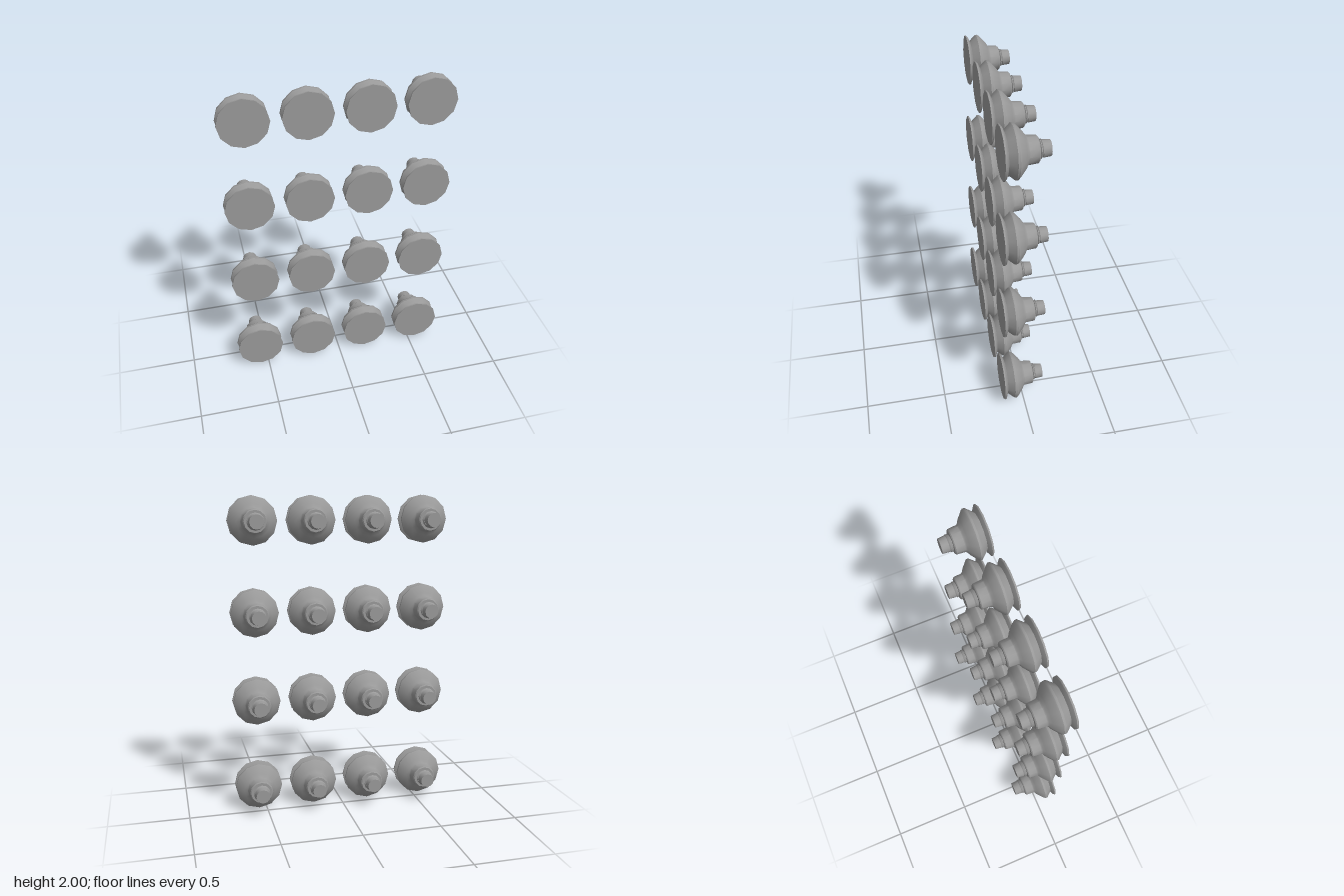
import * as THREE from 'three';
import { toCreasedNormals } from 'three/addons/utils/BufferGeometryUtils.js';

const SIDES = 12;
const material = new THREE.MeshStandardMaterial({ color: 0x999999 });

// Lathe along z from [radius, z] pairs running back to front
function latheZ(profile) {
  const points = profile.map(([r, z]) => new THREE.Vector2(r, z));
  const geometry = new THREE.LatheGeometry(points, SIDES);
  geometry.rotateX(Math.PI / 2);
  return toCreasedNormals(geometry, 0.6);
}

// Screw thread wound round the stem
class Thread extends THREE.Curve {
  getPoint(t, target = new THREE.Vector3()) {
    const a = t * Math.PI * 4;
    return target.set(0.047 * Math.cos(a), 0.047 * Math.sin(a), -0.084 + 0.015 * t);
  }
}

export function createModel() {
  const group = new THREE.Group();

  const parts = {
    // Tapered connector at the back, narrowing to a groove under the thread
    stem: latheZ([[0, -0.132], [0.044, -0.132], [0.048, -0.088], [0.042, -0.085], [0.042, -0.06], [0, -0.06]]),
    thread: toCreasedNormals(new THREE.TubeGeometry(new Thread(), 24, 0.006, 4, false), 0.6),
    // Collar, bellows fold with a flat band, neck and flared lip with a closed face
    cup: latheZ([
      [0, -0.066], [0.068, -0.066], [0.074, -0.06], [0.078, -0.008], [0.084, 0], [0.103, 0.011],
      [0.144, 0.046], [0.15, 0.054], [0.15, 0.067], [0.143, 0.075],
      [0.114, 0.107], [0.146, 0.12], [0.15, 0.123], [0.15, 0.132], [0, 0.132],
    ]),
  };

  // Four by four array of suction cups
  for (let row = 0; row < 4; row++) {
    for (let col = 0; col < 4; col++) {
      const suctionCup = new THREE.Group();
      suctionCup.name = `suctionCup${row + 1}_${col + 1}`;
      for (const [name, geometry] of Object.entries(parts)) {
        const mesh = new THREE.Mesh(geometry, material);
        mesh.name = name;
        suctionCup.add(mesh);
      }
      suctionCup.position.set((col - 1.5) * 0.364, 0.15 + row * 0.5667, 0);
      group.add(suctionCup);
    }
  }
  return group;
}
